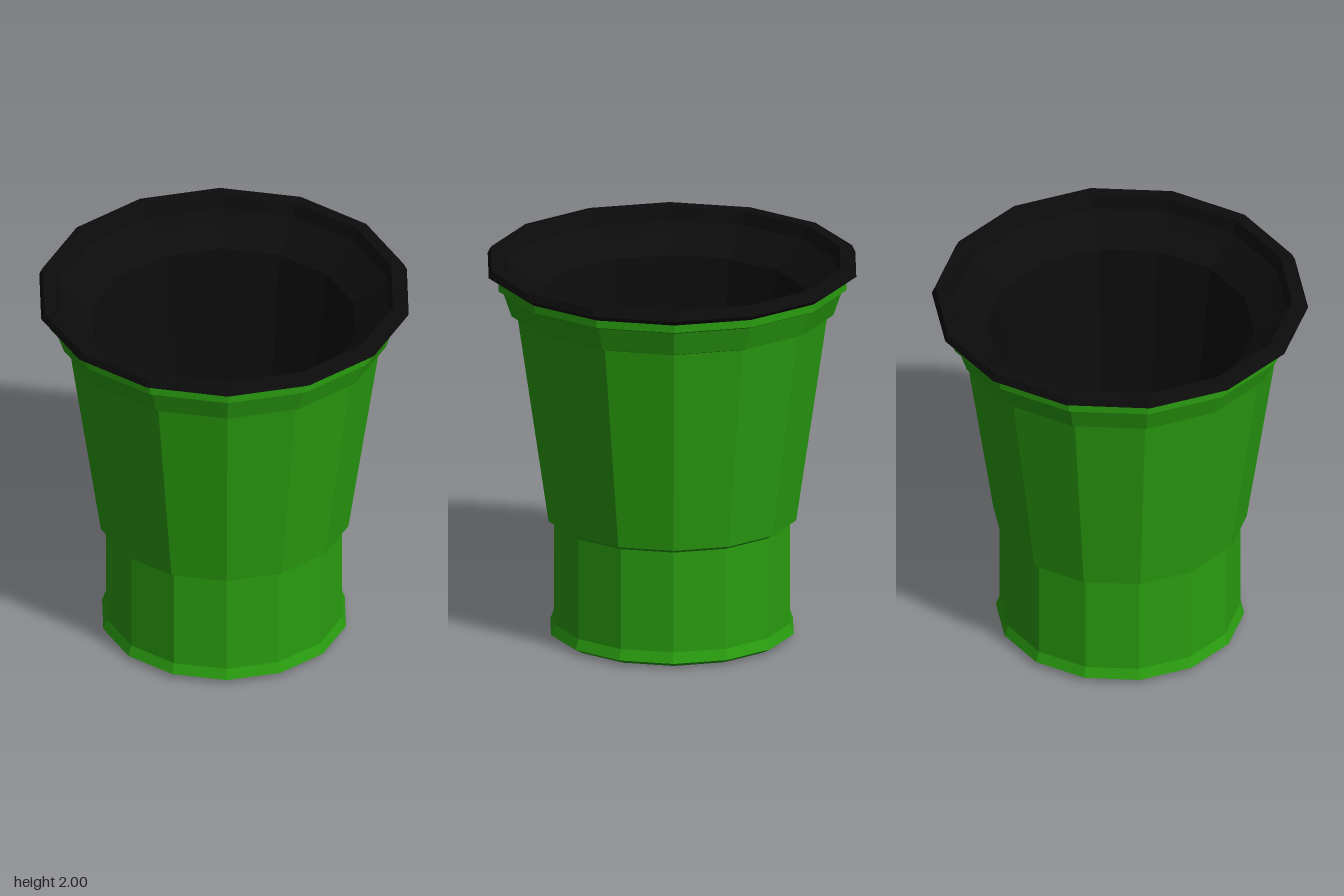
import * as THREE from 'three';

const SIDES = 14;

// Faceted turned part; the profile runs [radius, height] with its outer side on the right
function turned(name, profile, color) {
  const points = profile.map(([r, y]) => new THREE.Vector2(r, y));
  const geometry = new THREE.LatheGeometry(points, SIDES, Math.PI / 2);
  const material = new THREE.MeshStandardMaterial({ color, flatShading: true });
  const mesh = new THREE.Mesh(geometry, material);
  mesh.name = name;
  return mesh;
}

export function createModel() {
  const group = new THREE.Group();
  group.name = 'cup';

  // Outer shell: closed base, flared foot, straight lower band, tapered wall, stepped collar
  group.add(turned('outerShell', [
    [0, 0], [0.59, 0.005], [0.635, 0.03], [0.615, 0.085],
    [0.615, 0.62], [0.648, 0.64],
    [0.81, 1.74], [0.842, 1.752],
    [0.885, 1.878], [0.91, 1.89], [0.91, 1.935],
  ], 0x2a9d10));

  // Rolled rim continuing into the dark lining, down to the inner floor
  group.add(turned('rimAndLining', [
    [0.91, 1.93], [0.962, 1.965], [0.945, 2],
    [0.88, 2], [0.86, 1.93], [0.8, 1.88],
    [0.685, 1.8], [0.465, 0.1], [0, 0.1],
  ], 0x0c0c0c));

  return group;
}
